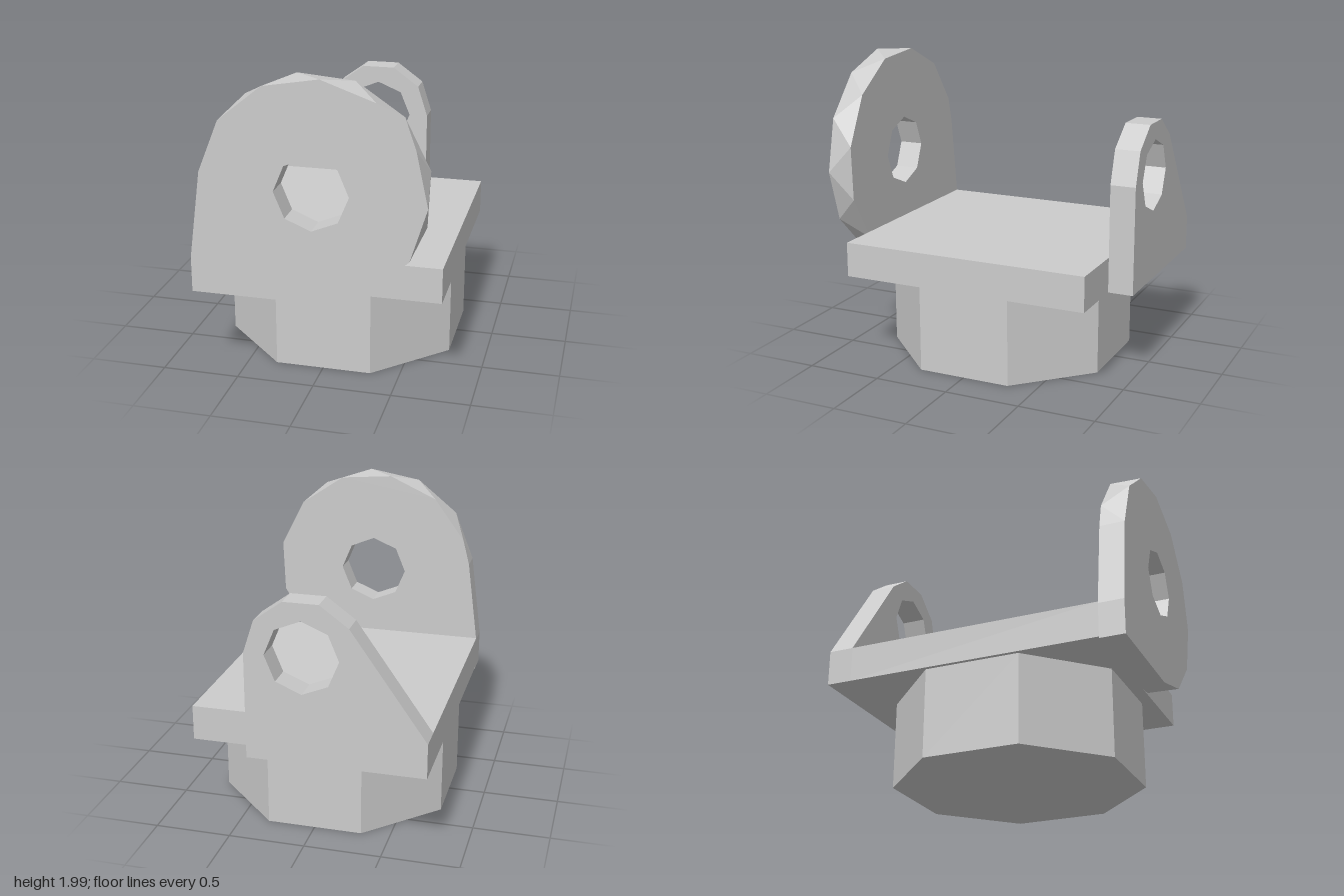
import * as THREE from 'three';
import { mergeGeometries } from 'three/addons/utils/BufferGeometryUtils.js';

const CY = 1.28; // height of the shared pivot axis
const material = new THREE.MeshStandardMaterial({ color: 0xcccccc, flatShading: true });

// Point on a circle around the pivot axis, angle in degrees
function polar(r, deg) {
  const a = THREE.MathUtils.degToRad(deg);
  return new THREE.Vector2(r * Math.cos(a), CY + r * Math.sin(a));
}

function arc(r, from, step, count) {
  return Array.from({ length: count }, (_, i) => polar(r, from + i * step));
}

const v = (x, y) => new THREE.Vector2(x, y);

// Lug outline with the octagonal pivot hole
function lugShape(points) {
  const shape = new THREE.Shape(points);
  shape.holes.push(new THREE.Path(arc(0.235, 90, -45, 8)));
  return shape;
}

// Strip of triangles between a rear and a front edge of equal length
function strip(back, front, zBack, zFront) {
  const pos = [];
  const tri = (...corners) => {
    for (const [p, z] of corners) pos.push(p.x, p.y, z);
  };
  for (let i = 0; i < front.length - 1; i++) {
    const [b0, b1, f0, f1] = [back[i], back[i + 1], front[i], front[i + 1]];
    tri([b0, zBack], [b1, zBack], [f0, zFront]);
    if (f0 !== f1) tri([f0, zFront], [b1, zBack], [f1, zFront]);
  }
  const g = new THREE.BufferGeometry();
  g.setAttribute('position', new THREE.Float32BufferAttribute(pos, 3));
  g.computeVertexNormals();
  return g;
}

function cap(points, z, flip) {
  const g = new THREE.ShapeGeometry(lugShape(points));
  if (flip) g.index.array.reverse();
  g.translate(0, 0, z);
  const flat = g.toNonIndexed();
  flat.deleteAttribute('uv');
  flat.computeVertexNormals();
  return flat;
}

// Round front lug: the rear rim is turned half a step against the front rim
function frontLugGeometry(zBack, zFront) {
  const R = 0.71, step = 29.2, n = 10;
  const rim = arc(R, -90, step, n);
  const first = rim[0], last = rim[n - 1];
  const backRim = [first, ...arc(R, -90 + step / 2, step, n - 1), last];
  const foot = [v(-0.78, 0.8), v(-0.78, 0.57)];
  const hole = arc(0.235, 90, -45, 8);
  hole.push(hole[0]);
  return mergeGeometries([
    cap([...rim, ...foot], zFront, false),
    cap([...backRim, ...foot], zBack, true),
    strip([...backRim, ...foot, first], [...rim, last, ...foot, first], zBack, zFront),
    strip(hole, hole, zBack, zFront),
  ]);
}

export function createModel() {
  const group = new THREE.Group();
  const add = (name, geometry, x = 0, y = 0, z = 0) => {
    const mesh = new THREE.Mesh(geometry, material);
    mesh.name = name;
    mesh.position.set(x, y, z);
    group.add(mesh);
  };

  // Octagonal foot with flats facing the axes
  add('octagonalBase', new THREE.CylinderGeometry(0.816, 0.816, 0.58, 8, 1, false, Math.PI / 8), 0, 0.29, 0);

  // Flat platform
  add('platform', new THREE.BoxGeometry(1.56, 0.23, 1.67), 0, 0.695, 0);

  // Large lug at the front
  add('frontLug', frontLugGeometry(0.835, 1));

  // Smaller lug at the back, sloping down to the right corner
  const rear = lugShape([v(-0.78, 0.58), v(0.365, 0.58), ...arc(0.365, 0, 36, 5), v(-0.78, 0.81)]);
  add('rearLug', new THREE.ExtrudeGeometry(rear, { depth: 0.165, bevelEnabled: false }), 0, 0, -1);

  return group;
}
